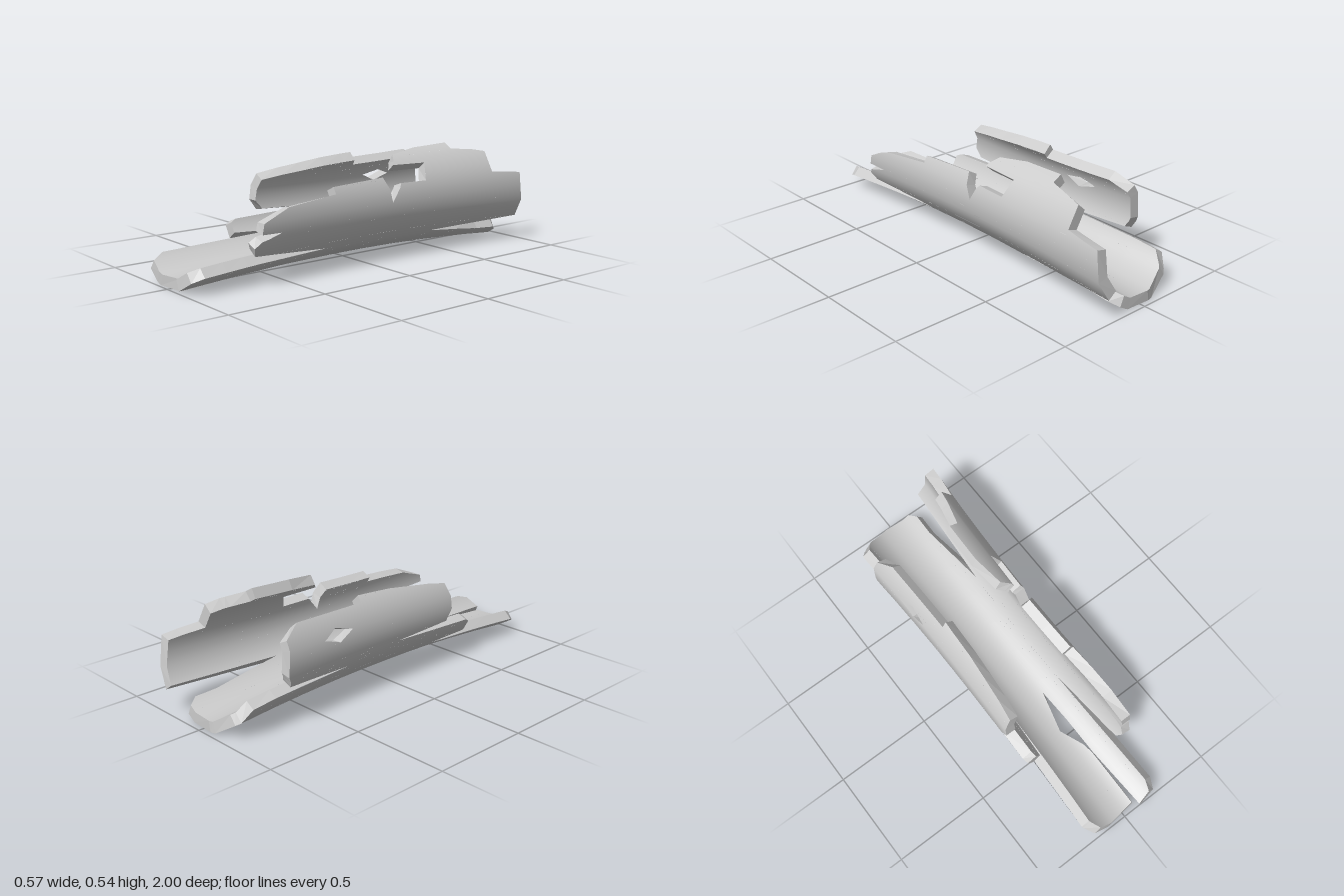
import * as THREE from 'three';

// The shell is unrolled as an outline of [angle, z]; angle is in degrees from the bottom, positive toward +x.
const OUTLINE = [
  // front end of the trough with its crack
  [-46, 0.92], [-37, 0.98], [-20, 0.99], [14, 0.97], [15.5, 0.66], [13, 0.6], [0, 0.48], [10, 0.34], [15, 0.27],
  [17, 0.45], [16.5, 0.66], [20, 1], [38, 0.985], [44, 0.93], [45, 0.7], [46, 0.25],
  // left side wall, front to back
  [56, 0.68], [66, 0.7], [73, 0.67], [79, 0.56], [80, 0.67], [90, 0.66], [102, 0.52], [108, 0.24], [116, 0.24],
  [119, -0.07], [90, -0.11], [110, -0.17], [109, -0.33], [129, -0.36], [131, -0.16], [146, -0.2], [153, -0.36],
  [153, -0.58], [142, -0.58], [131, -0.78], [108, -0.78], [103, -0.97], [54, -1], [46, -0.42],
  // back end of the trough
  [33, -0.8], [33, -0.92], [25, -0.965], [-10, -0.975], [-40, -0.94], [-58, -0.88], [-60, -0.75], [-62, -0.3],
  // right side wall, back to front
  [-68, -0.68], [-80, -0.7], [-115, -0.69], [-128, -0.6], [-128, -0.2], [-136, -0.2], [-133, 0], [-125, 0.25],
  [-120, 0.36], [-90, 0.38], [-78, 0.34], [-74, 0], [-70, 0.5], [-66, 0.53], [-52, 0.53], [-47, 0.3],
];
const HOLE = [[-112, -0.4], [-103, -0.48], [-96, -0.38], [-106, -0.3]];
const THICKNESS = 0.055, STEP = 0.2;
const FACETS = Array.from({ length: 12 }, (_, i) => -165 + i * 30);

// Point on the twelve-sided, slightly waisted shell
function point(angle, z, depth) {
  const r = 0.265 + 0.043 * z * z - depth;
  const a0 = Math.floor((angle - 15) / 30) * 30 + 15;
  const t = (angle - a0) / 30;
  const corner = (a) => new THREE.Vector3(Math.sin(a * Math.PI / 180) * r, 0.3 - Math.cos(a * Math.PI / 180) * r, z);
  return corner(a0).lerp(corner(a0 + 30), t);
}

// Smooth normal of the outer face
function radial(angle, z) {
  const a = angle * Math.PI / 180;
  return new THREE.Vector3(Math.sin(a), -Math.cos(a), -0.086 * z).normalize();
}

function makeGeometry(positions, normals) {
  const g = new THREE.BufferGeometry();
  g.setAttribute('position', new THREE.Float32BufferAttribute(positions, 3));
  if (normals) g.setAttribute('normal', new THREE.Float32BufferAttribute(normals, 3));
  else g.computeVertexNormals();
  return g;
}

const loopEdges = (loop) => loop.map((p, i) => [p, loop[(i + 1) % loop.length]]);
const zAt = ([p, q], a) => p[1] + (q[1] - p[1]) * (a - p[0]) / (q[0] - p[0]);

// Inner or outer face: slice the outline into angular strips and fill each one
function faceGeometry(edges, inner) {
  const pos = [], nor = [];
  const cuts = [...new Set([...edges.map((e) => e[0][0]), ...FACETS])].sort((a, b) => a - b);
  const order = inner ? [0, 2, 1, 0, 3, 2] : [0, 1, 2, 0, 2, 3];
  for (let i = 0; i < cuts.length - 1; i++) {
    const a = cuts[i], b = cuts[i + 1], mid = (a + b) / 2;
    const hits = edges
      .filter(([p, q]) => (p[0] < mid) !== (q[0] < mid))
      .sort((e, f) => zAt(e, mid) - zAt(f, mid));
    for (let k = 0; k + 1 < hits.length; k += 2) {
      const [lo, hi] = [hits[k], hits[k + 1]];
      const n = Math.max(1, Math.ceil((zAt(hi, mid) - zAt(lo, mid)) / STEP));
      const at = (ang, t) => [ang, THREE.MathUtils.lerp(zAt(lo, ang), zAt(hi, ang), t)];
      for (let s = 0; s < n; s++) {
        const quad = [at(a, s / n), at(b, s / n), at(b, (s + 1) / n), at(a, (s + 1) / n)];
        for (const c of order) {
          pos.push(...point(...quad[c], inner ? THICKNESS : 0));
          nor.push(...radial(...quad[c]).multiplyScalar(inner ? -1 : 1));
        }
      }
    }
  }
  return makeGeometry(pos, nor);
}

// Broken rim: flat walls joining the two faces along every outline edge
function rimGeometry(edges) {
  const pos = [];
  for (const [p, q] of edges) {
    const ts = [0, 1];
    for (const f of FACETS) {
      const t = (f - p[0]) / (q[0] - p[0]);
      if (t > 0 && t < 1) ts.push(t);
    }
    const n = Math.ceil(Math.abs(q[1] - p[1]) / STEP);
    for (let s = 1; s < n; s++) ts.push(s / n);
    ts.sort((a, b) => a - b);
    const at = (t, d) => point(p[0] + (q[0] - p[0]) * t, p[1] + (q[1] - p[1]) * t, d);
    for (let i = 0; i < ts.length - 1; i++) {
      const quad = [at(ts[i], 0), at(ts[i + 1], 0), at(ts[i + 1], THICKNESS), at(ts[i], THICKNESS)];
      for (const c of [0, 1, 2, 0, 2, 3]) pos.push(...quad[c]);
    }
  }
  return makeGeometry(pos);
}

export function createModel() {
  const group = new THREE.Group();
  group.name = 'hollowLogShell';
  const material = new THREE.MeshStandardMaterial({ color: 0xcccccc });
  const edges = [...loopEdges(OUTLINE), ...loopEdges(HOLE)];
  const parts = {
    outerBark: faceGeometry(edges, false),
    innerHollow: faceGeometry(edges, true),
    brokenRim: rimGeometry(edges),
  };
  for (const [name, geometry] of Object.entries(parts)) {
    const mesh = new THREE.Mesh(geometry, material);
    mesh.name = name;
    group.add(mesh);
  }
  return group;
}
